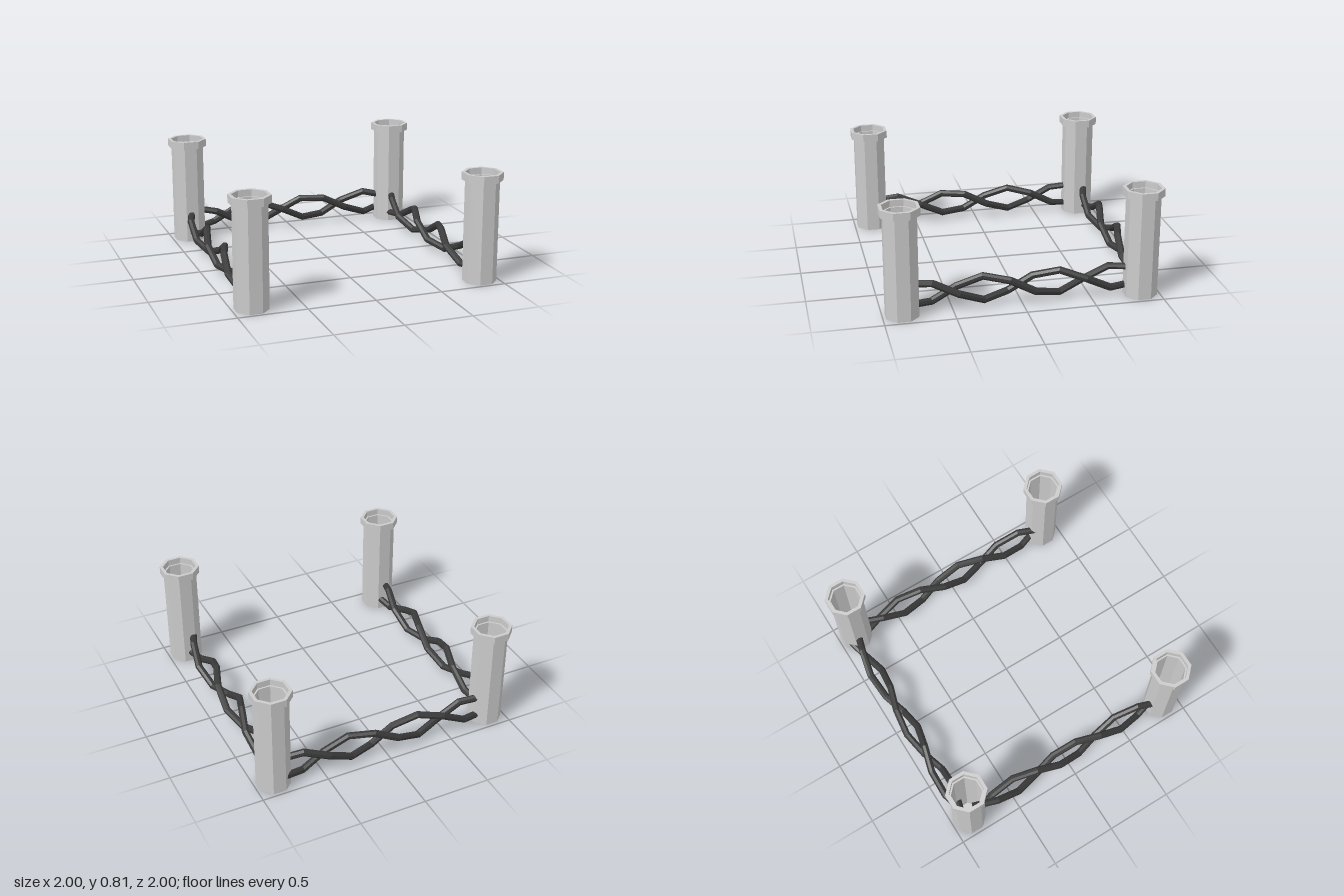
import * as THREE from 'three';

const POST = 0.862;           // post centre offset on x and z
const K = 1 / Math.cos(Math.PI / 8); // flat-to-flat half width -> corner radius

// Helical strand, sampled evenly along x
class Strand extends THREE.Curve {
  constructor(side, sway, shift) {
    super();
    Object.assign(this, { side, sway, shift });
  }
  getPoint(t, target = new THREE.Vector3()) {
    const x = -0.82 + 1.65 * t;
    const a = (Math.PI * (x + 0.295 - this.shift)) / 0.485;
    return target.set(x, 0.143 + this.side * 0.087 * Math.cos(a), this.side * this.sway * Math.sin(a));
  }
  getPointAt(t, target) { return this.getPoint(t, target); }
  getTangentAt(t, target) { return this.getTangent(t, target); }
}

export function createModel() {
  const model = new THREE.Group();
  const grey = new THREE.MeshStandardMaterial({ color: 0xcccccc, flatShading: true });
  const dark = new THREE.MeshStandardMaterial({ color: 0x3a3a3a, flatShading: true });

  // Hollow octagonal posts with a collar around the top
  const profile = [
    [0, 0], [0.115, 0], [0.115, 0.755], [0.138, 0.755], [0.138, 0.812],
    [0.115, 0.812], [0.115, 0.765], [0.103, 0.765], [0.103, 0.008], [0, 0.008],
  ].map(([r, y]) => new THREE.Vector2(r * K, y));
  const postGeometry = new THREE.LatheGeometry(profile, 8, Math.PI / 8);
  for (const x of [-POST, POST]) {
    for (const z of [-POST, POST]) {
      const post = new THREE.Mesh(postGeometry, grey);
      post.name = (z > 0 ? 'front' : 'back') + (x > 0 ? 'Left' : 'Right') + 'Post';
      post.position.set(x, 0, z);
      model.add(post);
    }
  }

  // Two-strand ropes between the posts
  function addRope(name, x, z, turn, sway, shift) {
    const rope = new THREE.Group();
    rope.name = name;
    for (const side of [1, -1]) {
      const curve = new Strand(side, sway, shift);
      const strand = new THREE.Mesh(new THREE.TubeGeometry(curve, 9, 0.027, 8), dark);
      strand.name = 'strand';
      rope.add(strand);
      // Close both ends of the strand
      for (const t of [0, 1]) {
        const cap = new THREE.Mesh(new THREE.CircleGeometry(0.027, 8), dark);
        cap.name = 'strandEnd';
        const out = curve.getTangent(t).multiplyScalar(t ? 1 : -1);
        cap.position.copy(curve.getPoint(t));
        cap.quaternion.setFromUnitVectors(new THREE.Vector3(0, 0, 1), out);
        rope.add(cap);
      }
    }
    rope.position.set(x, 0, z);
    rope.rotation.y = turn;
    model.add(rope);
  }
  addRope('backRope', 0, -0.897, 0, 0.05, 0);
  addRope('rightRope', -0.863, 0, -Math.PI / 2, 0.05, 0);
  addRope('leftRope', 0.84, 0, -Math.PI / 2, 0.058, 0.04);

  return model;
}
